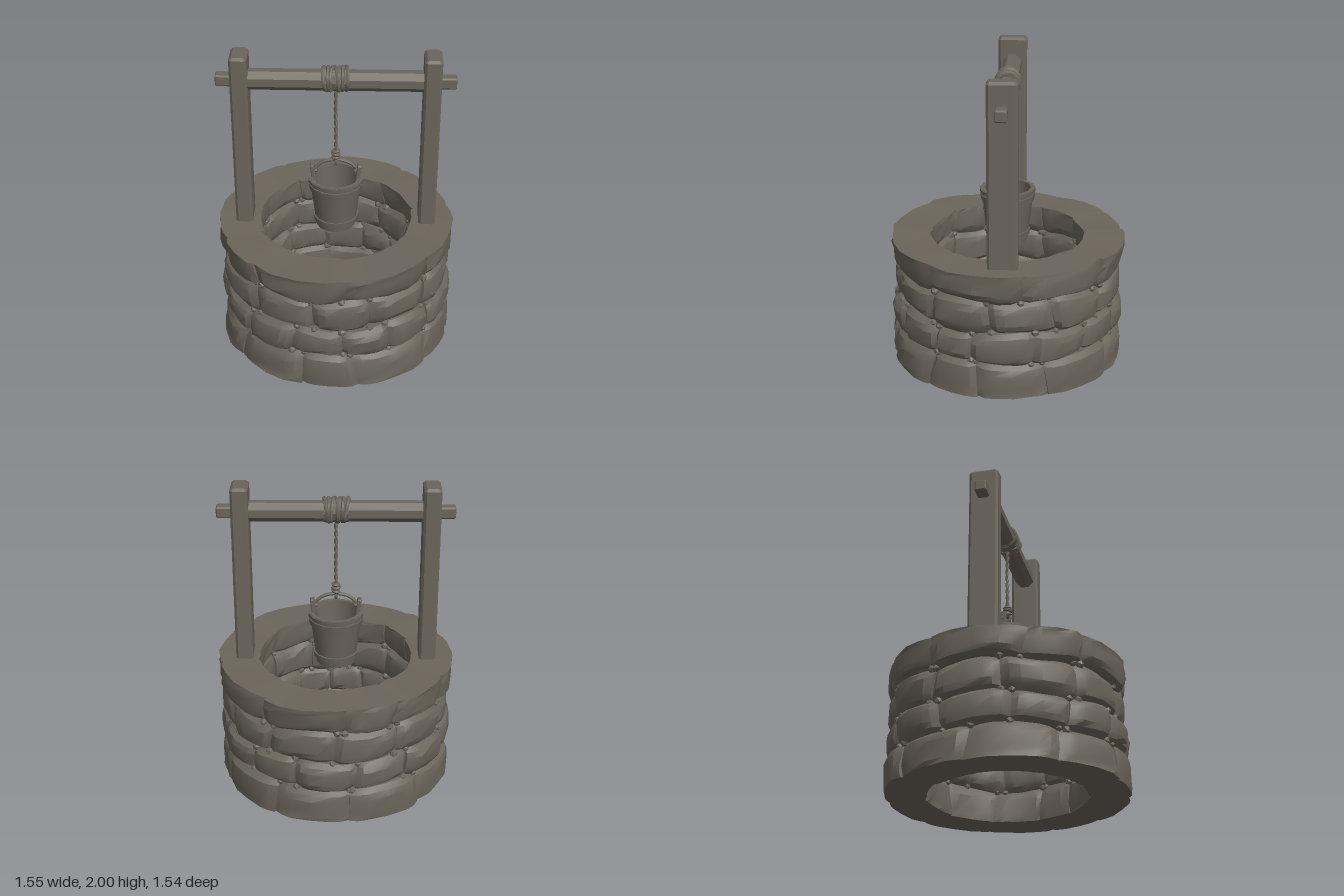
import * as THREE from 'three';
import { toCreasedNormals } from 'three/addons/utils/BufferGeometryUtils.js';

const stone = new THREE.MeshStandardMaterial({ color: 0x6b655b });
stone.name = 'weathered grey brown';

let seed = 7;
const rand = () => { // seeded, -1..1
  seed = (seed * 16807) % 2147483647;
  return (seed / 2147483647) * 2 - 1;
};
const rad = THREE.MathUtils.degToRad;

function add(parent, name, geo, crease = 0.5) {
  const mesh = new THREE.Mesh(toCreasedNormals(geo, crease), stone);
  mesh.name = name;
  parent.add(mesh);
  return mesh;
}

// Stone courses: joint angles in degrees, from the front (+z) towards +x
const levels = [0, 0.22, 0.42, 0.64, 0.825];
const outer = [0.768, 0.765, 0.752, 0.765];
const courses = [
  [11, 53, 78, 112, 150, 187, 225, 265, 307, 345],
  [5, 29, 56, 75, 106, 134, 160, 190, 218, 250, 285, 313, 340],
  [19, 53, 84, 116, 146, 180, 212, 245, 280, 318, 350],
  [6, 53, 100, 143, 185, 210, 245, 291, 320],
];

// Wavy bed joint between two courses
function bedY(k, a) {
  const wave = [0, 0.012, 0.012, 0.014, 0.004][k];
  return levels[k] + wave * Math.sin(a * (4 + k) + k * 2);
}

// One wedge-shaped stone, pillowed on its outer and inner face
function stoneGeometry(k, a0, a1, skew0, skew1) {
  const geo = new THREE.BoxGeometry(2, 2, 2, 6, 5, 1);
  const p = geo.attributes.position;
  const ro = outer[k] + rand() * 0.008;
  const ri = 0.5 + rand() * 0.008;
  const tiltU = rand() * 0.012, tiltV = rand() * 0.01;
  const spread = t => Math.sign(t) * Math.abs(t) ** 0.6;
  const dents = Array.from({ length: 42 }, () => rand() * 0.006);
  for (let i = 0; i < p.count; i++) {
    const u = spread(p.getX(i)), v = spread(p.getY(i)), w = p.getZ(i);
    const t = (u + 1) / 2;
    const a = THREE.MathUtils.lerp(a0 + skew0 * v, a1 + skew1 * v, t);
    const y = THREE.MathUtils.lerp(bedY(k, a), bedY(k + 1, a), (v + 1) / 2);
    // the ground edge and the rim stay square
    const flat = (k === 0 && v < 0) || (k === 3 && v > 0);
    const dropV = flat ? 0 : Math.abs(v) ** 4;
    const dropU = Math.abs(u) ** 5 * (flat ? 0.5 : 1);
    const col = Math.round((p.getX(i) + 1) * 3), row = Math.round((p.getY(i) + 1) * 2.5);
    const dent = dents[row * 7 + col];
    const r = w > 0
      ? ro - 0.045 * dropV - 0.035 * dropU + tiltU * u * (1 - dropU) + tiltV * v * (1 - dropV) + dent
      : ri + 0.035 * dropV + 0.02 * dropU + dent;
    p.setXYZ(i, Math.sin(a) * r, y, Math.cos(a) * r);
  }
  return geo;
}

// Timber with chamfered edges, running along y
function timber(w, h, d, bevel) {
  const x = w / 2 - bevel, z = d / 2 - bevel, c = Math.min(x, z) * 0.15;
  const shape = new THREE.Shape([
    [-x + c, -z], [x - c, -z], [x, -z + c], [x, z - c],
    [x - c, z], [-x + c, z], [-x, z - c], [-x, -z + c],
  ].map(q => new THREE.Vector2(...q)));
  return new THREE.ExtrudeGeometry(shape, {
    depth: h - 2 * bevel, bevelSize: bevel, bevelThickness: bevel, bevelSegments: 1,
  }).translate(0, 0, bevel - h / 2).rotateX(-Math.PI / 2);
}

function tube(points, radius, segments, sides = 6, closed = false) {
  const curve = new THREE.CatmullRomCurve3(points, closed);
  return new THREE.TubeGeometry(curve, segments, radius, sides, closed);
}

function samples(n, fn) {
  return Array.from({ length: n + 1 }, (_, i) => new THREE.Vector3(...fn(i / n)));
}

function buildWall() {
  const wall = new THREE.Group();
  wall.name = 'stoneWall';
  courses.forEach((joints, k) => {
    const skews = joints.map(() => rand() * 0.035);
    joints.forEach((j, i) => {
      const n = (i + 1) % joints.length;
      const end = n === 0 ? joints[0] + 360 : joints[n];
      add(wall, `courseStone${k + 1}`, stoneGeometry(k, rad(j), rad(end), skews[i], skews[n]), 0.45);
      // small pebbles wedged into the corners, outside and inside
      for (const [bed, v] of [[k, -1], [k + 1, 1]]) {
        if (bed === 0 || bed === 4) continue;
        const a = rad(j) + skews[i] * v;
        for (const r of [0.712, 0.54]) {
          const pebble = add(wall, 'pebble', new THREE.IcosahedronGeometry(0.026 + rand() * 0.005, 0), 0.2);
          pebble.position.set(Math.sin(a) * r, bedY(bed, a), Math.cos(a) * r);
          pebble.rotation.set(rand() * 3, rand() * 3, 0);
        }
      }
    });
  });
  return wall;
}

function buildFrame() {
  const frame = new THREE.Group();
  frame.name = 'woodenFrame';
  for (const s of [-1, 1]) {
    const post = add(frame, 'post', timber(0.11, 1.22, 0.19, 0.016), 0.3);
    post.position.set(s * 0.598, 1.39, -0.003);
    const tenon = add(frame, 'beamEnd', timber(0.075, 0.14, 0.075, 0.008), 0.3);
    tenon.rotation.z = Math.PI / 2;
    tenon.position.set(s * 0.678, 1.822, 0);
  }
  // eight-sided crossbeam
  const beam = add(frame, 'crossbeam', new THREE.CylinderGeometry(0.067, 0.067, 1.12, 8)
    .rotateY(Math.PI / 8).rotateZ(Math.PI / 2), 0.3);
  beam.position.y = 1.825;
  return frame;
}

function buildRope() {
  const rope = new THREE.Group();
  rope.name = 'rope';
  // coil wound round the beam
  const core = add(rope, 'coilCore', new THREE.CylinderGeometry(0.076, 0.076, 0.155, 10).rotateZ(Math.PI / 2));
  core.position.y = 1.833;
  for (let i = 0; i < 7; i++) {
    const x0 = -0.066 + i * 0.022, lean = rand() * 0.022, phase = rand() * 3;
    const loop = samples(15, t => {
      const a = t * Math.PI * 2 * 15 / 16;
      const r = 0.073 + rand() * 0.005;
      return [x0 + lean * Math.sin(a + phase), 1.833 + Math.cos(a) * r, Math.sin(a) * r];
    });
    add(rope, 'coilTurn', tube(loop, 0.0125, 24, 6, true), 0.6);
  }
  // two twisted strands down to the knot
  for (const phase of [0, Math.PI]) {
    const strand = samples(36, t => {
      const a = t * Math.PI * 10 + phase;
      return [Math.cos(a) * 0.006, 1.77 - t * 0.5, Math.sin(a) * 0.006];
    });
    add(rope, 'ropeStrand', tube(strand, 0.0075, 72, 5), 1);
  }
  // knot
  [[1.32, 0.018, 0.15], [1.298, 0.021, -0.2], [1.274, 0.019, 0.2]].forEach(([y, r, lean]) => {
    const ring = add(rope, 'knotTurn', new THREE.TorusGeometry(r, 0.0115, 6, 12).rotateX(Math.PI / 2), 1);
    ring.position.y = y;
    ring.rotation.z = lean;
  });
  const eye = add(rope, 'knotEye', new THREE.TorusGeometry(0.021, 0.01, 6, 12).rotateY(Math.PI / 2), 1);
  eye.position.y = 1.247;
  return rope;
}

function buildBucket() {
  const bucket = new THREE.Group();
  bucket.name = 'bucket';
  const lathe = (pts, sides = 14) =>
    new THREE.LatheGeometry(pts.map(q => new THREE.Vector2(...q)), sides);
  // staves with hollow inside
  add(bucket, 'bucketBody', lathe([
    [0, 0.775], [0.128, 0.775], [0.136, 0.83], [0.168, 1.09], [0.176, 1.135],
    [0.152, 1.135], [0.12, 0.82], [0, 0.82],
  ]), 0.5);
  // hoops, each a closed ring
  const hoop = (y0, r0, y1, r1) => add(bucket, 'hoop', lathe([
    [r0 - 0.02, y0], [r0, y0], [r1, y1], [r1 - 0.02, y1], [r0 - 0.02, y0],
  ]), 0.5);
  hoop(1.05, 0.173, 1.095, 0.18);
  hoop(1.103, 0.18, 1.132, 0.183);
  hoop(0.81, 0.143, 0.85, 0.149);
  // ears and bail
  for (const s of [-1, 1]) {
    const ear = add(bucket, 'ear', timber(0.028, 0.15, 0.055, 0.006), 0.3);
    ear.position.set(s * 0.145, 1.145, 0);
    ear.rotation.z = -s * 0.12;
    const pin = add(bucket, 'earPin', new THREE.CylinderGeometry(0.014, 0.014, 0.045, 6).rotateZ(Math.PI / 2));
    pin.position.set(s * 0.143, 1.175, 0);
  }
  const bail = samples(12, t => {
    const a = t * Math.PI;
    return [Math.cos(a) * 0.135, 1.165 + Math.sin(a) * 0.09, 0];
  });
  add(bucket, 'bail', tube(bail, 0.011, 20), 0.8);
  return bucket;
}

export function createModel() {
  seed = 7;
  const model = new THREE.Group();
  model.name = 'well';
  model.add(buildWall(), buildFrame(), buildRope(), buildBucket());
  return model;
}
